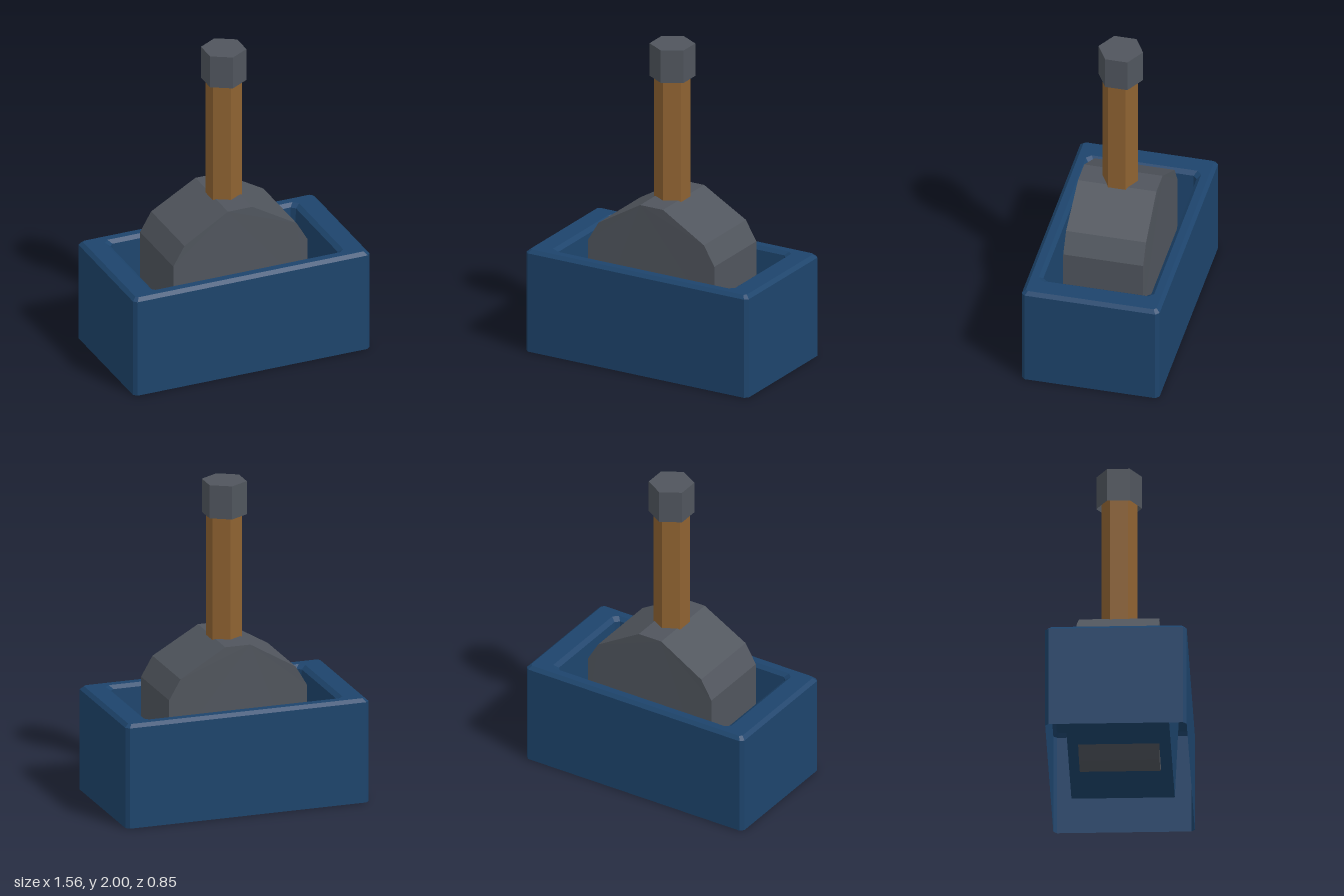
import * as THREE from 'three';

const material = (name, color, side = THREE.FrontSide) => {
  const m = new THREE.MeshStandardMaterial({ color, side, flatShading: true });
  m.name = name;
  return m;
};

// Rectangle loop with cut corners, running counter-clockwise from above
const ring = (hx, hz, cut, y) => [
  [-hx + cut, hz], [hx - cut, hz], [hx, hz - cut], [hx, -hz + cut],
  [hx - cut, -hz], [-hx + cut, -hz], [-hx, -hz + cut], [-hx, hz - cut],
].map(([x, z]) => [x, y, z]);

// Hexagon loop in the same direction, with corners at front and back
const hexagon = (radius, y) => Array.from({ length: 6 }, (_, i) => {
  const a = (i * Math.PI) / 3;
  return [Math.sin(a) * radius, y, Math.cos(a) * radius];
});

// Skin a series of loops, then close the last one with a flat face
function loft(rings) {
  const pos = [];
  const tri = (...pts) => pts.forEach((p) => pos.push(...p));
  for (let r = 0; r < rings.length - 1; r++) {
    const a = rings[r], b = rings[r + 1], n = a.length;
    for (let i = 0; i < n; i++) {
      const j = (i + 1) % n;
      tri(a[i], a[j], b[j]);
      tri(a[i], b[j], b[i]);
    }
  }
  const end = rings[rings.length - 1];
  for (let i = 1; i < end.length - 1; i++) tri(end[0], end[i], end[i + 1]);
  const g = new THREE.BufferGeometry();
  g.setAttribute('position', new THREE.Float32BufferAttribute(pos, 3));
  g.computeVertexNormals();
  return g;
}

export function createModel() {
  const group = new THREE.Group();
  const blue = material('blue paint', 0x1d446c, THREE.DoubleSide);
  const grey = material('grey metal', 0x50555d, THREE.DoubleSide);
  const brown = material('brown wood', 0x8e6231);

  const add = (name, geometry, mat, x = 0, y = 0, z = 0) => {
    const mesh = new THREE.Mesh(geometry, mat);
    mesh.name = name;
    mesh.position.set(x, y, z);
    group.add(mesh);
  };

  // Housing: outer walls, bevelled rim, recess and its floor; open underneath
  add('housing', loft([
    ring(0.78, 0.427, 0.022, 0),
    ring(0.78, 0.427, 0.022, 0.635),
    ring(0.757, 0.405, 0.015, 0.656),
    ring(0.64, 0.358, 0.03, 0.656),
    ring(0.612, 0.335, 0.025, 0.635),
    ring(0.59, 0.312, 0.004, 0.14),
  ]), blue);

  // Pivot block: faceted profile, mirrored top to bottom, poking through the floor
  const middle = 0.55;
  const quarter = [[0.443, 0.175], [0.37, 0.3], [0.08, 0.47]];
  const right = [...quarter.map(([x, y]) => [x, -y]).reverse(), ...quarter];
  const profile = [...right, ...right.map(([x, y]) => [-x, y]).reverse()];
  const shape = new THREE.Shape(profile.map(([x, y]) => new THREE.Vector2(x, y)));
  const block = new THREE.ExtrudeGeometry(shape, { depth: 0.496, bevelEnabled: false });
  block.translate(0, 0, -0.248);
  // Slightly narrower towards the top and bottom
  const p = block.attributes.position;
  for (let i = 0; i < p.count; i++) {
    const t = THREE.MathUtils.clamp((Math.abs(p.getY(i)) - 0.3) / 0.17, 0, 1);
    p.setZ(i, p.getZ(i) * (1 - 0.02 * t));
  }
  block.computeVertexNormals();
  add('pivotBlock', block, grey, 0, middle, -0.002);

  // Six-sided handle and hollow cap
  add('handle', new THREE.CylinderGeometry(0.11, 0.11, 0.9, 6), brown, 0, 1.43, -0.003);
  add('knob', loft([hexagon(0.138, 1.79), hexagon(0.138, 2)]), grey, 0, 0, -0.005);

  return group;
}
